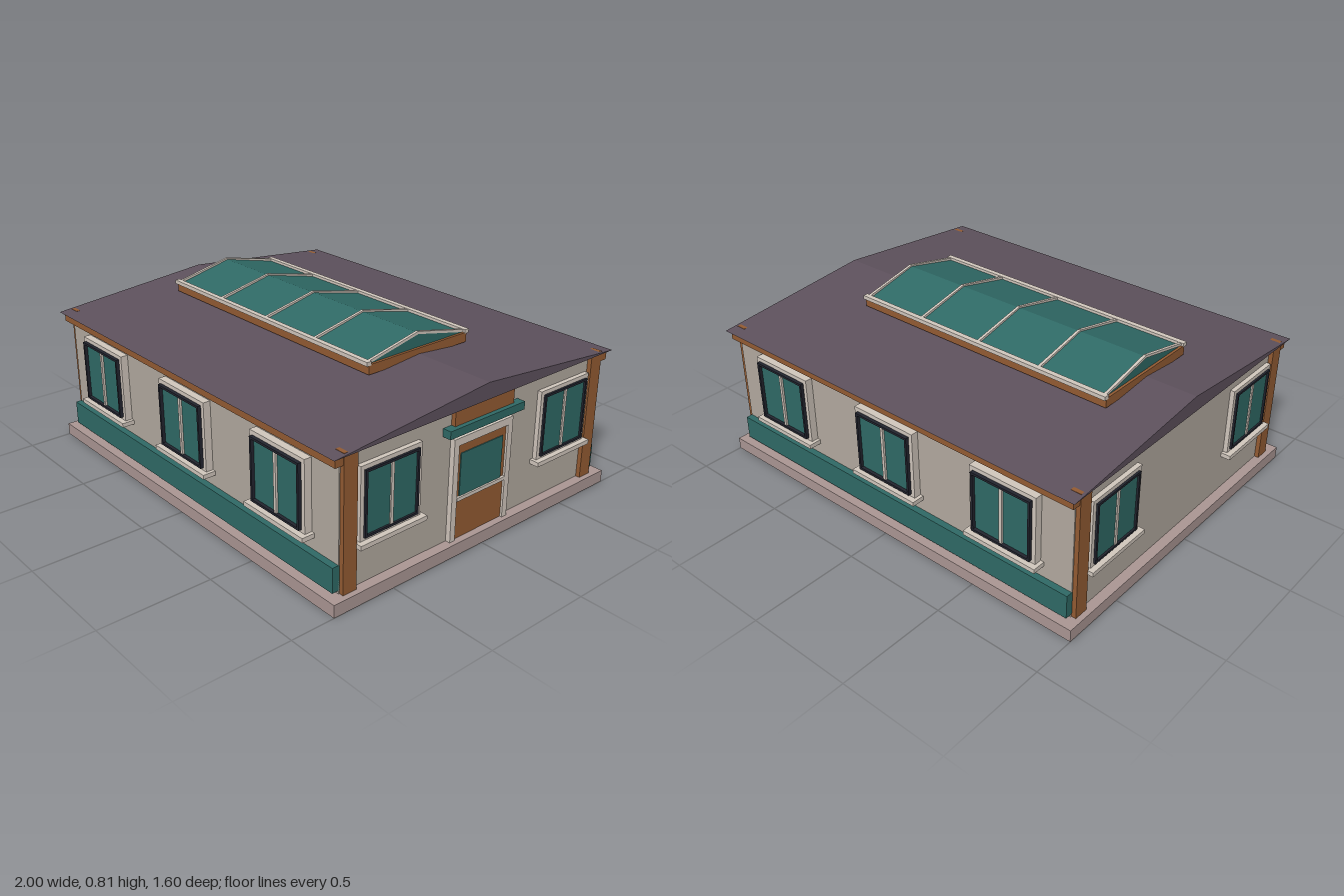
import * as THREE from 'three';

const mat = (color) => new THREE.MeshStandardMaterial({ color });
const WALL = mat(0xb3aaa0), ROOF = mat(0x5e515d), TEAL = mat(0x2f6a66), WOOD = mat(0x945c33);
const TRIM = mat(0xd2c8be), DARK = mat(0x22242e), STONE = mat(0xab9794);

// Box given by its ranges on each axis
function box(parent, name, material, [x0, x1], [y0, y1], [z0, z1]) {
  const m = new THREE.Mesh(new THREE.BoxGeometry(x1 - x0, y1 - y0, z1 - z0), material);
  m.position.set((x0 + x1) / 2, (y0 + y1) / 2, (z0 + z1) / 2);
  m.name = name;
  parent.add(m);
  return m;
}

// Gabled prism running along x
function prism(parent, name, material, [x0, x1], halfZ, eaveY, ridgeY) {
  const s = new THREE.Shape();
  s.moveTo(-halfZ, eaveY);
  s.lineTo(halfZ, eaveY);
  s.lineTo(0, ridgeY);
  const g = new THREE.ExtrudeGeometry(s, { depth: x1 - x0, bevelEnabled: false });
  g.rotateY(Math.PI / 2);
  const m = new THREE.Mesh(g, material);
  m.position.x = x0;
  m.name = name;
  parent.add(m);
}

// Rectangular frame with an opening, facing +z
function frame(parent, name, material, w, [y0, y1], t, [z0, z1]) {
  const h = w / 2;
  const s = new THREE.Shape([[-h, y0], [h, y0], [h, y1], [-h, y1]].map((p) => new THREE.Vector2(...p)));
  s.holes.push(new THREE.Path([[-h + t, y0 + t], [-h + t, y1 - t], [h - t, y1 - t], [h - t, y0 + t]]
    .map((p) => new THREE.Vector2(...p))));
  const m = new THREE.Mesh(new THREE.ExtrudeGeometry(s, { depth: z1 - z0, bevelEnabled: false }), material);
  m.position.z = z0;
  m.name = name;
  parent.add(m);
}

// Window whose local z = 0 is the wall plane
function makeWindow(w, depth, sillDepth) {
  const g = new THREE.Group();
  g.name = 'window';
  const inner = w - 0.036;
  frame(g, 'windowSurround', TRIM, w, [0.252, 0.567], 0.02, [-0.005, depth * 0.68]);
  frame(g, 'windowSash', DARK, inner, [0.267, 0.549], 0.01, [-0.005, depth]);
  box(g, 'windowGlass', TEAL, [-inner / 2 + 0.005, inner / 2 - 0.005], [0.272, 0.544], [-0.005, depth * 0.7]);
  box(g, 'windowMullion', TRIM, [-0.007, 0.007], [0.277, 0.539], [0, depth * 0.9]);
  box(g, 'windowSill', TRIM, [-w / 2 - 0.016, w / 2 + 0.016], [0.234, 0.254], [-0.005, sillDepth]);
  return g;
}

export function createModel() {
  const model = new THREE.Group();
  model.name = 'house';

  // Shell
  box(model, 'plinth', STONE, [-1, 1], [0, 0.056], [-0.8, 0.8]);
  box(model, 'walls', WALL, [-0.955, 0.955], [0.05, 0.64], [-0.74, 0.74]);
  prism(model, 'roof', ROOF, [-0.988, 0.988], 0.792, 0.64, 0.713);

  for (const sz of [-1, 1]) {
    // Long sides: base band, eave beam and three windows
    const side = new THREE.Group();
    side.name = sz > 0 ? 'frontSide' : 'backSide';
    side.rotation.y = sz > 0 ? 0 : Math.PI;
    box(side, 'baseBand', TEAL, [-0.955, 0.955], [0.07, 0.18], [0.73, 0.77]);
    box(side, 'eaveBeam', WOOD, [-0.972, 0.972], [0.598, 0.6395], [0.73, 0.774]);
    for (const x of [-0.638, 0, 0.638]) {
      const w = makeWindow(0.33, 0.05, 0.06);
      w.position.set(x, 0, 0.74);
      side.add(w);
    }
    model.add(side);

    // Corner posts and end windows
    for (const sx of [-1, 1]) {
      const post = box(model, 'cornerPost', WOOD, [0.928, 0.975], [0.056, 0.647], [0.668, 0.735]);
      post.position.x *= sx;
      post.position.z *= sz;
      const w = makeWindow(0.31, 0.03, 0.045);
      w.position.set(sx * 0.955, 0, sz * 0.5);
      w.rotation.y = sx * Math.PI / 2;
      model.add(w);
    }
  }

  // Entrance on the +x end
  const door = new THREE.Group();
  door.name = 'entrance';
  for (const s of [-1, 1]) {
    const jamb = box(door, 'doorJamb', TRIM, [0.95, 0.978], [0.056, 0.515], [0.142, 0.17]);
    jamb.position.z *= s;
  }
  box(door, 'doorHead', TRIM, [0.95, 0.978], [0.482, 0.515], [-0.142, 0.142]);
  box(door, 'doorLeaf', WOOD, [0.95, 0.968], [0.056, 0.482], [-0.142, 0.142]);
  box(door, 'doorGlass', TEAL, [0.95, 0.972], [0.25, 0.44], [-0.122, 0.122]);
  box(door, 'doorLedge', TRIM, [0.95, 0.98], [0.234, 0.25], [-0.142, 0.142]);
  box(door, 'doorUpperPanel', WOOD, [0.95, 0.975], [0.57, 0.6395], [-0.17, 0.17]);
  box(door, 'doorCanopy', TEAL, [0.95, 0.995], [0.536, 0.571], [-0.215, 0.215]);
  model.add(door);

  // Skylight: curb, gabled glass, edge rails and rafters
  const sky = new THREE.Group();
  sky.name = 'skylight';
  box(sky, 'skylightCurb', WOOD, [-0.75, 0.605], [0.695, 0.738], [-0.28, 0.28]);
  prism(sky, 'skylightGlass', TEAL, [-0.738, 0.593], 0.278, 0.737, 0.801);
  const slope = Math.atan2(0.06, 0.28), length = Math.hypot(0.06, 0.28);
  for (const s of [-1, 1]) {
    const rail = box(sky, 'skylightRail', TRIM, [-0.752, 0.607], [0.734, 0.752], [0.268, 0.292]);
    rail.position.z *= s;
    for (let i = 0; i < 5; i++) {
      const bar = new THREE.Mesh(new THREE.BoxGeometry(0.013, 0.012, length), TRIM);
      bar.position.set(-0.735 + i * 0.331, 0.772, s * 0.14);
      bar.rotation.x = s * slope;
      bar.name = 'skylightRafter';
      sky.add(bar);
    }
  }
  model.add(sky);
  return model;
}
